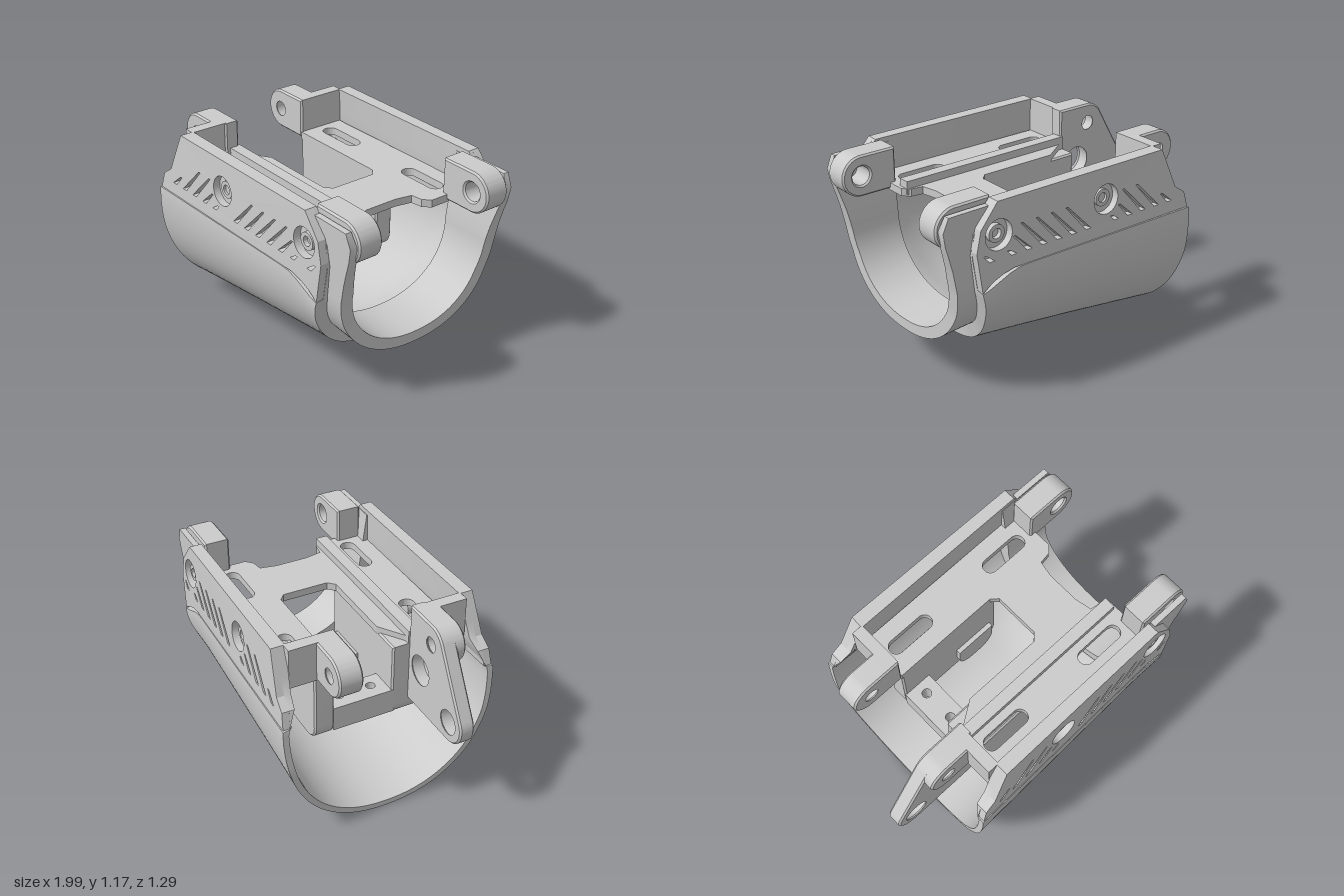
import * as THREE from 'three';
import { toCreasedNormals } from 'three/addons/utils/BufferGeometryUtils.js';

const grey = new THREE.MeshStandardMaterial({ color: 0xcccccc, side: THREE.DoubleSide });
const { lerp, smoothstep } = THREE.MathUtils;
const SHOULDER = 0.75, SEAM = 0.78, TOP = 1.17;

// piecewise linear curve through [y, x] pairs
function along(points, y) {
  if (y <= points[0][0]) return points[0][1];
  for (let i = 1; i < points.length; i++) {
    const [y0, x0] = points[i - 1], [y1, x1] = points[i];
    if (y <= y1) return lerp(x0, x1, (y - y0) / (y1 - y0));
  }
  return points[points.length - 1][1];
}

// the seam between cover and grip dips towards the +x end
function dip(x, y) {
  const f = y > SEAM ? (TOP - y) / (TOP - SEAM) : Math.max(0, (y - 0.3) / (SEAM - 0.3));
  return y - 0.1 * smoothstep(x, 0.52, 0.86) * f * f;
}

// one point of the U section: s from 0 (bottom) to 1 (shoulder) to 2 (top)
function uPoint(s, w, bottom, topW, top, power = 2.2) {
  if (s <= 1) {
    const a = s * Math.PI / 2, e = 2 / power;
    const c = Math.max(0, Math.cos(a));
    return [w * Math.sin(a) ** e, SHOULDER - (SHOULDER - bottom) * c ** e];
  }
  return [lerp(w, topW, s - 1), lerp(SHOULDER, top, s - 1)];
}

// closed U-shaped wall between an outer and an inner surface, each fn(s, v) -> [x, y, z]
function uWall(outer, inner, upper, nv) {
  const half = [];
  for (let i = 1; i <= 30; i++) half.push(i / 30);
  half.push(...upper);
  const ts = [...half.map(s => -s).reverse(), 0, ...half];
  const ring = 2 * (nv + 1), pos = [], idx = [];
  ts.forEach(t => {
    for (let j = 0; j < ring; j++) {
      const out = j <= nv;
      const [x, y, z] = (out ? outer : inner)(Math.abs(t), (out ? j : ring - 1 - j) / nv);
      pos.push(x, y, t < 0 ? -z : z);
    }
  });
  for (let i = 0; i < ts.length - 1; i++) for (let j = 0; j < ring; j++) {
    const k = (j + 1) % ring, a = i * ring, b = a + ring;
    idx.push(a + j, a + k, b + j, b + j, a + k, b + k);
  }
  // top edges
  const last = (ts.length - 1) * ring;
  for (let j = 0; j < nv; j++) {
    const o = j, p = j + 1, m = ring - 1 - j, n = ring - 2 - j;
    idx.push(last + o, last + p, last + m, last + p, last + n, last + m);
    idx.push(o, m, p, p, m, n);
  }
  const g = new THREE.BufferGeometry();
  g.setAttribute('position', new THREE.Float32BufferAttribute(pos, 3));
  g.setIndex(idx);
  return toCreasedNormals(g, 0.6);
}

const poly = pts => new THREE.Shape(pts.map(p => new THREE.Vector2(...p)));
const circle = (x, y, r) => new THREE.Path().absarc(x, y, r, 0, Math.PI * 2, true);

// shape in the x-y plane, extruded from z0 to z1
function slab(shape, z0, z1, bevel = 0) {
  const g = new THREE.ExtrudeGeometry(shape, {
    depth: z1 - z0 - 2 * bevel, curveSegments: 20, bevelEnabled: bevel > 0,
    bevelSize: bevel, bevelThickness: bevel, bevelOffset: -bevel, bevelSegments: 1,
  });
  return toCreasedNormals(g.translate(0, 0, z0 + bevel), 0.5);
}

// rounded lug with a pin hole; dir is the side it sticks out to
function lugShape(cx, root, dir) {
  const s = new THREE.Shape();
  s.moveTo(root, 0.93).lineTo(cx, 0.93);
  s.absarc(cx, 1.05, 0.12, -Math.PI / 2, Math.PI / 2, dir < 0);
  s.lineTo(root, TOP);
  s.holes.push(circle(cx, 1.05, 0.055));
  return s;
}

// upright block with rounded lower corners
function hangerShape(x0, x1, top) {
  const s = new THREE.Shape();
  s.moveTo(x0, top).lineTo(x0, 0.54);
  s.absarc(x0 + 0.1, 0.54, 0.1, Math.PI, Math.PI * 1.5, false);
  s.absarc(x1 - 0.1, 0.54, 0.1, -Math.PI / 2, 0, false);
  s.lineTo(x1, top);
  return s;
}

export function createModel() {
  const group = new THREE.Group();
  const add = (name, geometry, z = 1) => {
    const m = new THREE.Mesh(geometry, grey);
    m.name = name;
    m.scale.z = z;
    group.add(m);
  };
  const box = (name, x0, x1, y0, y1, z0, z1, side = 1) => add(name,
    new THREE.BoxGeometry(x1 - x0, y1 - y0, z1 - z0)
      .translate((x0 + x1) / 2, (y0 + y1) / 2, (z0 + z1) / 2), side);

  // main U-shaped shell, tapering to +x with curved ends
  const rear = [[0, -0.655], [0.25, -0.675], [0.5, -0.683], [0.78, -0.665], [0.88, -0.63], [0.93, -0.56], [1.17, -0.46]];
  const fore = [[0.18, 0.62], [0.3, 0.68], [0.48, 0.74], [0.68, 0.79], [0.9, 0.82], [1.02, 0.8], [1.17, 0.68]];
  const shellPoint = (s, v, isInner) => {
    const w = lerp(0.645, 0.615, v), bottom = lerp(0, 0.185, v), power = lerp(2.2, 2.05, v);
    const [z, y0] = uPoint(s, w, bottom, lerp(0.612, 0.597, v), TOP, power);
    const y = dip(lerp(along(rear, y0), along(fore, y0), v), y0);
    const x = lerp(along(rear, y), along(fore, y), v);
    if (!isInner) return [x, y, z - (y0 > 0.783 ? 0.045 : 0)];
    const thick = 0.035 + 0.05 * Math.max(smoothstep(y0, 0.78, 0.93), smoothstep(v, 0.75, 0.95));
    const p = uPoint(s, w - thick, bottom + thick, 0.525, TOP, power);
    return [x, s < 1 ? dip(x, p[1]) : y, p[0]];
  };
  const upper = [0.78, 0.786, 0.85, 0.88, 0.93, 1.02, 1.1, 1.17].map(y => 1 + (y - SHOULDER) / (TOP - SHOULDER));
  add('shell', uWall((s, v) => shellPoint(s, v, false), (s, v) => shellPoint(s, v, true), upper, 24));

  // flared inner collar at the +x end
  const lip = [[0.27, 0.89], [0.55, 0.885], [0.7, 0.9], [0.85, 0.93], [1, 0.975], [1.07, 0.985], [1.14, 0.95]];
  const collar = (w, bottom, slope, topW) => (s, v) => {
    const [z, y] = uPoint(s, w, bottom + slope * (1 - v), topW, 1.14);
    return [lerp(0.59, along(lip, y), v), y, z];
  };
  add('collar', uWall(collar(0.543, 0.262, 0.025, 0.557), collar(0.468, 0.325, 0.02, 0.522), [1.2, 1.4, 1.6, 1.8, 2], 8));

  // side grips: slotted skins that follow the lean of the shell
  const skin = poly([[-0.655, 0.785], [-0.63, 0.88], [-0.56, 0.93], [-0.46, 1.17], [0.68, 1.17], [0.79, 1.04], [0.82, 0.92],
    [0.79, 0.69], [0.76, 0.715], [0.72, 0.74], [0.66, 0.765], [0.59, 0.782]]);
  const screws = [[-0.04, 0.99], [0.68, 0.99]];
  screws.forEach(([x, y]) => skin.holes.push(circle(x, y, 0.085)));
  const slots = [[-0.53, 0.06], [-0.43, 0.16], [-0.33, 0.16], [-0.23, 0.08], [-0.13, 0.03], [0.07, 0.16],
    [0.17, 0.16], [0.27, 0.16], [0.37, 0.16], [0.47, 0.1], [0.57, 0.03], [0.71, 0.04]];
  for (const [x, h] of slots) skin.holes.push(poly([[x, 0.855], [x + 0.035, 0.855],
    [x + h * 0.85 + 0.035, 0.855 + h], [x + h * 0.85 + 0.02, 0.855 + h]]));
  const grip = slab(skin, -0.048, 0);
  const gp = grip.attributes.position;
  for (let i = 0; i < gp.count; i++) {
    const v = (gp.getX(i) + 0.6) / 1.4, h = Math.max(0, (gp.getY(i) - SEAM) / (TOP - SEAM));
    gp.setZ(i, gp.getZ(i) + lerp(lerp(0.638, 0.612, v), lerp(0.609, 0.597, v), h));
  }
  grip.computeVertexNormals();

  const screwHead = new THREE.Shape().absarc(0, 0, 0.05, 0, Math.PI * 2);
  screwHead.holes.push(circle(0, 0, 0.028));
  for (const side of [1, -1]) {
    add('sideGrip', grip, side);
    for (const [x, y] of screws) add('screwHead', slab(screwHead, 0.55, 0.588).translate(x, y, 0), side);
    add('screwBoss', new THREE.CylinderGeometry(0.05, 0.05, 0.12, 20)
      .rotateX(Math.PI / 2).translate(-0.04, 0.87, 0.49), side);
    // lugs at both ends
    add('foreLug', slab(lugShape(0.88, 0.66, 1), 0.36, 0.51, 0.01), side);
    add('rearLug', slab(lugShape(-0.66, -0.45, -1), 0.235, 0.375, 0.01), side);
    box('rearBlock', -0.52, -0.45, 0.93, TOP, 0.35, 0.535, side);
  }

  // deck with rails, drawn in x and -z, then laid flat
  const deck = poly([[-0.45, -0.53], [0.7, -0.53], [0.7, -0.25], [0.66, -0.21], [0.59, -0.2], [0.57, -0.1], [0.57, 0.1],
    [0.59, 0.2], [0.66, 0.21], [0.7, 0.25], [0.7, 0.53], [-0.45, 0.53], [-0.45, 0.235],
    [0.22, 0.235], [0.26, 0.2], [0.26, -0.08], [0.22, -0.12], [-0.27, -0.12], [-0.45, -0.24]]);
  for (const x of [-0.25, 0.47]) for (const z of [-0.385, 0.385]) {
    const slot = new THREE.Path();
    slot.absarc(x + 0.105, z, 0.046, -Math.PI / 2, Math.PI / 2, false);
    slot.absarc(x - 0.105, z, 0.046, Math.PI / 2, Math.PI * 1.5, false);
    slot.closePath();
    deck.holes.push(slot);
  }
  add('deck', slab(deck, 0.92, 0.965).rotateX(-Math.PI / 2));
  box('rail', -0.45, 0.68, 0.93, 1.01, 0.22, 0.29);

  // hanging walls with wider feet
  const wall = hangerShape(-0.45, 0.26, 0.93), foot = hangerShape(-0.05, 0.21, 0.64);
  add('wallLeft', slab(wall, 0.125, 0.355, 0.01));
  add('wallRight', slab(wall, -0.355, -0.235, 0.01));
  add('footLeft', slab(foot, 0.105, 0.2));
  add('footRight', slab(foot, -0.3, -0.208));

  // cross bar with two vertical holes
  const bar = poly([[-0.45, -0.14], [-0.27, -0.14], [-0.27, 0.24], [-0.45, 0.24]]);
  bar.holes.push(circle(-0.355, 0.16, 0.028), circle(-0.355, -0.04, 0.028));
  add('crossBar', slab(bar, 0.49, 0.64).rotateX(-Math.PI / 2));

  // side plate reaching out past the -x end
  const plate = new THREE.Shape();
  const tangent = Math.PI * 151 / 180;
  plate.moveTo(-0.44, 0.55).lineTo(-0.87, 0.55);
  plate.absarc(-0.87, 0.675, 0.125, -Math.PI / 2, tangent - Math.PI * 2, true);
  plate.absarc(-0.66, 1.05, 0.12, tangent, Math.PI / 2, true);
  plate.lineTo(-0.44, TOP);
  plate.holes.push(circle(-0.87, 0.675, 0.083), circle(-0.66, 1.05, 0.055), circle(-0.57, 0.82, 0.1));
  add('sidePlate', slab(plate, 0.23, 0.32, 0.01));

  return group;
}
